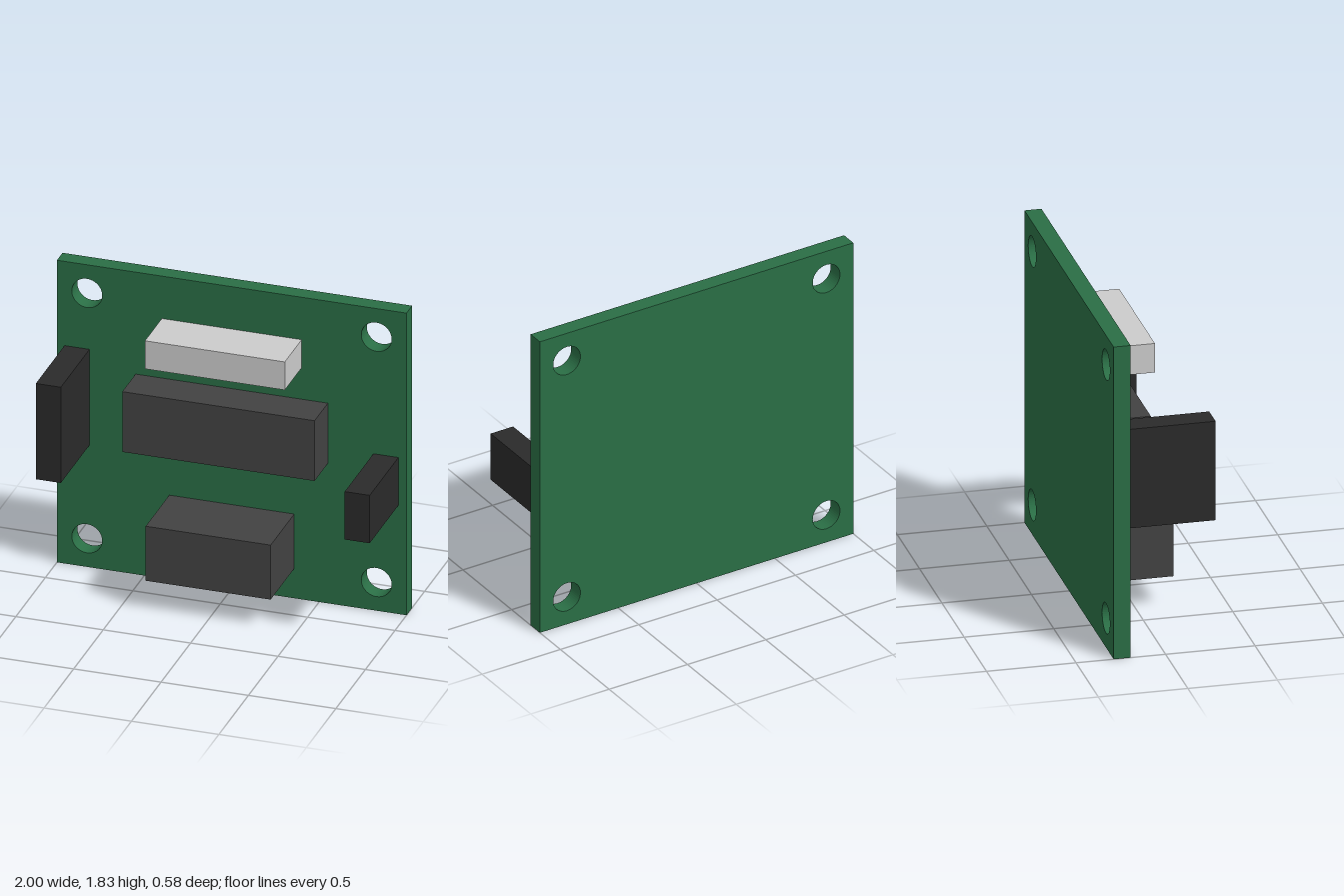
import * as THREE from 'three';

const BOARD_BACK = -0.29;
const BOARD_FRONT = -0.195;
const HEIGHT = 1.83;

export function createModel() {
  const model = new THREE.Group();
  model.name = 'circuitBoardModule';

  const green = new THREE.MeshStandardMaterial({ color: 0x2a6e45 });
  const charcoal = new THREE.MeshStandardMaterial({ color: 0x424242 });
  const black = new THREE.MeshStandardMaterial({ color: 0x2a2a2a });
  const grey = new THREE.MeshStandardMaterial({ color: 0xcccccc });

  // Board with four round mounting holes
  const outline = new THREE.Shape([
    new THREE.Vector2(-1, 0), new THREE.Vector2(1, 0),
    new THREE.Vector2(1, HEIGHT), new THREE.Vector2(-1, HEIGHT),
  ]);
  for (const x of [-0.828, 0.828]) {
    for (const y of [0.172, 1.658]) {
      outline.holes.push(new THREE.Path().absarc(x, y, 0.087, 0, Math.PI * 2, true));
    }
  }
  const boardGeometry = new THREE.ExtrudeGeometry(outline, {
    depth: BOARD_FRONT - BOARD_BACK, bevelEnabled: false, curveSegments: 24,
  });
  boardGeometry.translate(0, 0, BOARD_BACK);
  const board = new THREE.Mesh(boardGeometry, green);
  board.name = 'board';
  model.add(board);

  // Block standing on the front face of the board, reaching forward to z = front
  const addBlock = (name, material, x, y, width, height, front) => {
    const depth = front - BOARD_FRONT;
    const block = new THREE.Mesh(new THREE.BoxGeometry(width, height, depth), material);
    block.name = name;
    block.position.set(x, y, BOARD_FRONT + depth / 2);
    model.add(block);
  };

  // Connectors and components
  addBlock('upperConnector', grey, 0, 1.488, 0.8, 0.17, 0.09);
  addBlock('centreConnector', charcoal, 0, 1.03, 1.1, 0.365, 0.03);
  addBlock('lowerConnector', charcoal, 0, 0.345, 0.715, 0.33, 0.203);
  addBlock('rightSideConnector', black, -0.885, 1.03, 0.143, 0.58, 0.29);
  addBlock('leftSideConnector', black, 0.882, 0.803, 0.143, 0.29, 0.29);

  return model;
}
